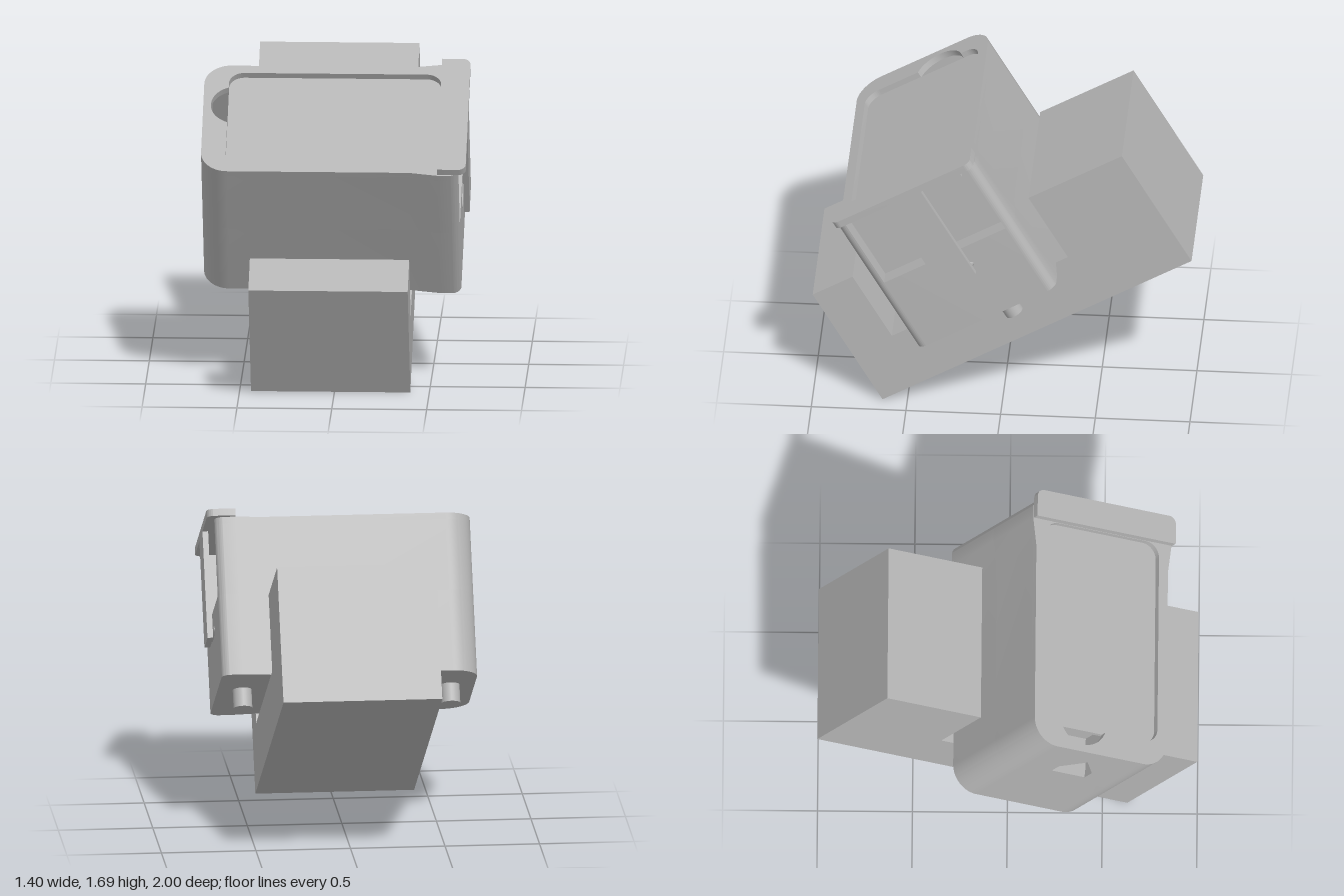
import * as THREE from 'three';
import { toCreasedNormals } from 'three/addons/utils/BufferGeometryUtils.js';

const MID = -0.297; // depth of the box's centre line inside the tilted frame

export function createModel() {
  const grey = new THREE.MeshStandardMaterial({ color: 0xb4b4b4 });
  grey.name = 'grey';
  const model = new THREE.Group();
  const tilted = new THREE.Group();
  tilted.name = 'tiltedAssembly';
  tilted.rotation.x = Math.PI / 6;
  model.add(tilted);

  const add = (name, geo, x = 0, y = 0, z = 0) => {
    const m = new THREE.Mesh(geo, grey);
    m.name = name;
    m.position.set(x, y, z);
    tilted.add(m);
    return m;
  };
  const poly = pts => new THREE.Shape(pts.map(p => new THREE.Vector2(...p)));
  const extrude = (shape, depth) =>
    new THREE.ExtrudeGeometry(shape, { depth, bevelEnabled: false, curveSegments: 12 });
  // plan shape raised from y0 to y1
  const slab = (name, shape, y0, y1) =>
    add(name, toCreasedNormals(extrude(shape, y1 - y0).rotateX(-Math.PI / 2), 0.6), 0, y0, MID);
  // side profile (z, y) running from x1 down to x0
  const profile = (name, shape, x0, x1, z = 0) =>
    add(name, extrude(shape, x1 - x0).rotateY(-Math.PI / 2), x1, 0, z);

  // Cradle with a low front wall and a thick back wall
  profile('cradle', poly([
    [0.546, 0.317], [0.546, 1.054], [0.303, 1.054], [0.303, 0.638],
    [-0.77, 0.638], [-0.77, 1.054], [-1.339, 1.054], [-1.339, 0.317],
  ]), -0.44, 0.40);

  // Plan outline of the box, flared toward the lid's pull end
  const outline = (cavity, recess) => {
    const s = new THREE.Shape();
    s.moveTo(-0.56, -0.40);
    s.lineTo(0.40, -0.40);
    s.lineTo(0.55, -0.42);
    s.lineTo(0.61, -0.42);
    s.absarc(0.61, -0.37, 0.05, -Math.PI / 2, 0);
    if (recess) { s.lineTo(0.57, -0.37); s.lineTo(0.57, 0.37); }
    s.lineTo(0.66, 0.37);
    s.absarc(0.61, 0.37, 0.05, 0, Math.PI / 2);
    s.lineTo(0.55, 0.42);
    s.lineTo(0.40, 0.40);
    s.lineTo(-0.56, 0.40);
    s.absarc(-0.56, 0.26, 0.14, Math.PI / 2, Math.PI);
    if (cavity) {
      [[-0.70, 0.14], [-0.66, 0.14], [-0.66, 0.25], [-0.45, 0.25],
        [-0.45, -0.15], [-0.66, -0.15], [-0.66, -0.14], [-0.70, -0.14]].forEach(p => s.lineTo(...p));
    }
    s.absarc(-0.56, -0.26, 0.14, Math.PI, Math.PI * 1.5);
    return s;
  };

  // Rounded lid outline; the notch adds a thumb cut-out on the closed end
  const lidPath = (P, h, notch) => {
    const p = new P(), r = 0.08, x0 = -0.57, x1 = 0.55;
    p.moveTo(x0 + r, -h);
    p.lineTo(x1 - r, -h);
    p.absarc(x1 - r, -h + r, r, -Math.PI / 2, 0);
    p.absarc(x1 - r, h - r, r, 0, Math.PI / 2);
    p.absarc(x0 + r, h - r, r, Math.PI / 2, Math.PI);
    if (notch) {
      const a = Math.acos(0.05 / 0.14);
      p.absarc(-0.52, 0.103, 0.14, Math.PI - a, Math.PI + a);
    }
    p.absarc(x0 + r, -h + r, r, Math.PI, Math.PI * 1.5);
    return p;
  };

  // Box body in three tiers
  slab('boxLower', outline(false, false), 0.638, 1.08);
  slab('boxUpper', outline(true, true), 1.08, 1.463);
  const rim = outline(false, true);
  rim.holes.push(lidPath(THREE.Path, 0.345, true));
  slab('boxRim', rim, 1.463, 1.498);
  slab('lidPanel', lidPath(THREE.Shape, 0.342, false), 1.44, 1.466);

  // Closed end wall with its peaked opening
  const endWall = poly([[-0.14, 1.08], [0.14, 1.08], [0.14, 1.463], [-0.14, 1.463]]);
  endWall.holes.push(poly([[-0.10, 1.16], [-0.10, 1.235], [0, 1.365], [0.10, 1.235], [0.10, 1.16]]));
  profile('endWall', endWall, -0.70, -0.66, MID);

  // Lid pull: overhanging plate, neck and hanging strap
  const pull = new THREE.Shape();
  pull.moveTo(0.55, -0.42);
  pull.lineTo(0.66, -0.42);
  pull.absarc(0.66, -0.38, 0.04, -Math.PI / 2, 0);
  pull.absarc(0.66, 0.38, 0.04, 0, Math.PI / 2);
  pull.lineTo(0.55, 0.42);
  slab('pullPlate', pull, 1.505, 1.543);
  add('pullNeck', new THREE.BoxGeometry(0.04, 0.08, 0.6), 0.572, 1.47, MID);
  add('pullStrap', new THREE.BoxGeometry(0.03, 0.585, 0.204), 0.685, 1.2175, MID);

  // Catch bump behind the strap
  const bump = add('strapCatch', new THREE.SphereGeometry(1, 20, 12), 0.66, 0.97, MID);
  bump.scale.set(0.012, 0.03, 0.115);

  // Pins under both ends of the box
  for (const x of [-0.57, 0.53]) {
    add('pin', new THREE.CylinderGeometry(0.05, 0.05, 0.12, 24), x, 0.598, -0.398);
  }
  return model;
}
